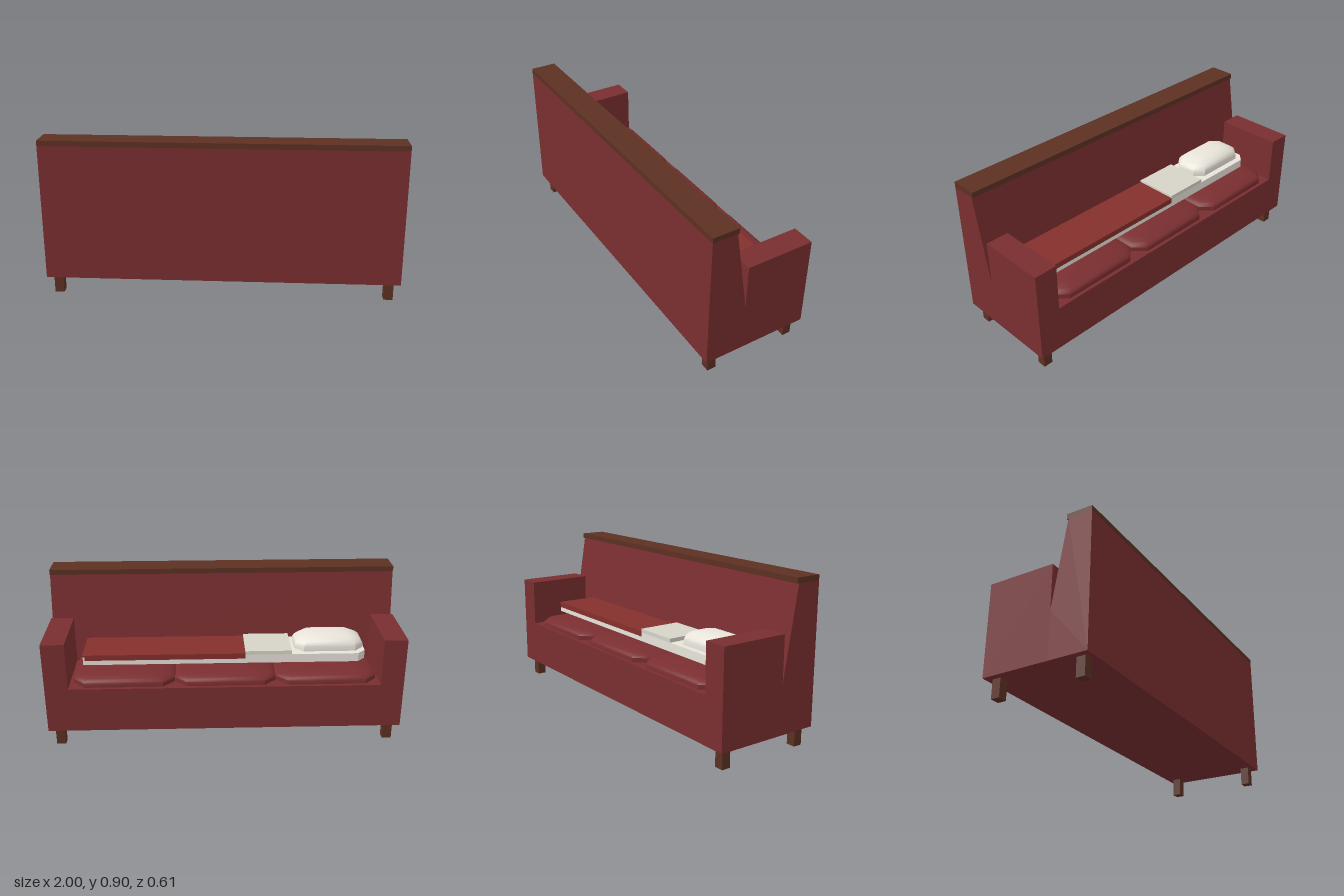
import * as THREE from 'three';
import { toCreasedNormals } from 'three/addons/utils/BufferGeometryUtils.js';

const material = (color) => new THREE.MeshStandardMaterial({ color });

// Octagonal padded cushion: upright rim below a softly domed top, centred on x and z.
function padGeometry(w, d, chamfer, rim, top) {
  const a = w / 2, b = d / 2, c = chamfer;
  const outline = [[a, -b + c], [a, b - c], [a - c, b], [c - a, b],
    [-a, b - c], [-a, c - b], [c - a, -b], [a - c, -b]];
  const rings = [[1, 0], [1, rim]];
  for (const s of [0.97, 0.9, 0.78, 0.6, 0.4, 0.2]) {
    rings.push([s, rim + (top - rim) * Math.pow(1 - s ** 3, 0.6)]);
  }
  const pos = [], index = [], n = outline.length;
  for (const [s, y] of rings) for (const [x, z] of outline) pos.push(x * s, y, z * s);
  for (let r = 0; r < rings.length - 1; r++) {
    for (let i = 0; i < n; i++) {
      const p = r * n + i, q = r * n + (i + 1) % n;
      index.push(p, p + n, q, q, p + n, q + n);
    }
  }
  const last = (rings.length - 1) * n, centre = pos.length / 3;
  pos.push(0, top, 0, 0, 0, 0);
  for (let i = 0; i < n; i++) {
    const j = (i + 1) % n;
    index.push(last + i, centre, last + j, i, j, centre + 1);
  }
  const g = new THREE.BufferGeometry();
  g.setAttribute('position', new THREE.Float32BufferAttribute(pos, 3));
  g.setIndex(index);
  return toCreasedNormals(g, 0.7);
}

export function createModel() {
  const sofa = new THREE.Group();
  sofa.name = 'sofa';
  const fabric = material(0x7a2e30);
  const wood = material(0x5c3022);
  const linen = material(0xe8e4da);
  const foldedLinen = material(0xd6d3c8);
  const wool = material(0x85302c);

  const add = (name, geometry, mat) => {
    const mesh = new THREE.Mesh(geometry, mat);
    mesh.name = name;
    sofa.add(mesh);
    return mesh;
  };
  // Box given by its limits on each axis
  const box = (name, [x0, x1], [y0, y1], [z0, z1], mat) => {
    const mesh = add(name, new THREE.BoxGeometry(x1 - x0, y1 - y0, z1 - z0), mat);
    mesh.position.set((x0 + x1) / 2, (y0 + y1) / 2, (z0 + z1) / 2);
    return mesh;
  };
  const polygon = (points) => new THREE.Shape(points.map(([x, y]) => new THREE.Vector2(x, y)));

  // Full-width sloping backrest, extruded along x, with a wooden cap
  const profile = polygon([[-0.305, 0.105], [-0.083, 0.105], [-0.083, 0.375],
    [-0.165, 0.875], [-0.305, 0.875]]);
  const back = new THREE.ExtrudeGeometry(profile, { depth: 2, bevelEnabled: false });
  back.rotateY(Math.PI / 2).translate(-1, 0, 0);
  add('backrest', back, fabric);
  box('backrestCap', [-1, 1], [0.875, 0.905], [0.155, 0.305], wood);

  // Seat base, arms and legs
  box('seatBase', [-0.87, 0.87], [0.105, 0.365], [-0.305, 0.083], fabric);
  for (const side of [-1, 1]) {
    const label = side > 0 ? 'left' : 'right';
    const limits = side > 0 ? [0.87, 1] : [-1, -0.87];
    box(label + 'Arm', limits, [0.105, 0.635], [-0.305, 0.083], fabric);
    for (const z of [-0.245, 0.247]) {
      box(label + 'Leg', [side * 0.94 - 0.026, side * 0.94 + 0.026], [0, 0.105],
        [z - 0.025, z + 0.025], wood);
    }
  }

  // Three seat cushions
  const cushion = padGeometry(0.565, 0.405, 0.065, 0.025, 0.068);
  for (let i = -1; i <= 1; i++) {
    add('seatCushion', cushion, fabric).position.set(i * 0.568 - 0.004, 0.365, -0.0825);
  }

  // Thin mattress with one clipped corner at the head
  const outline = polygon([[-0.81, -0.11], [0.8, -0.11], [0.8, 0.15], [-0.765, 0.15], [-0.81, 0.105]]);
  const mattress = new THREE.ExtrudeGeometry(outline, { depth: 0.05, bevelEnabled: false });
  mattress.rotateX(-Math.PI / 2);
  add('mattress', mattress, linen).position.y = 0.44;

  // Blanket with a short overhang, and the sheet turned down at its head end
  box('blanket', [-0.12, 0.802], [0.489, 0.5], [-0.154, 0.1], wool);
  box('blanketOverhang', [-0.12, 0.79], [0.468, 0.495], [-0.154, -0.149], wool);
  box('turnedSheet', [-0.385, -0.12], [0.489, 0.512], [-0.15, 0.1], foldedLinen);

  // Pillow
  add('pillow', padGeometry(0.395, 0.215, 0.05, 0.025, 0.085), linen)
    .position.set(-0.605, 0.49, -0.0075);

  return sofa;
}
